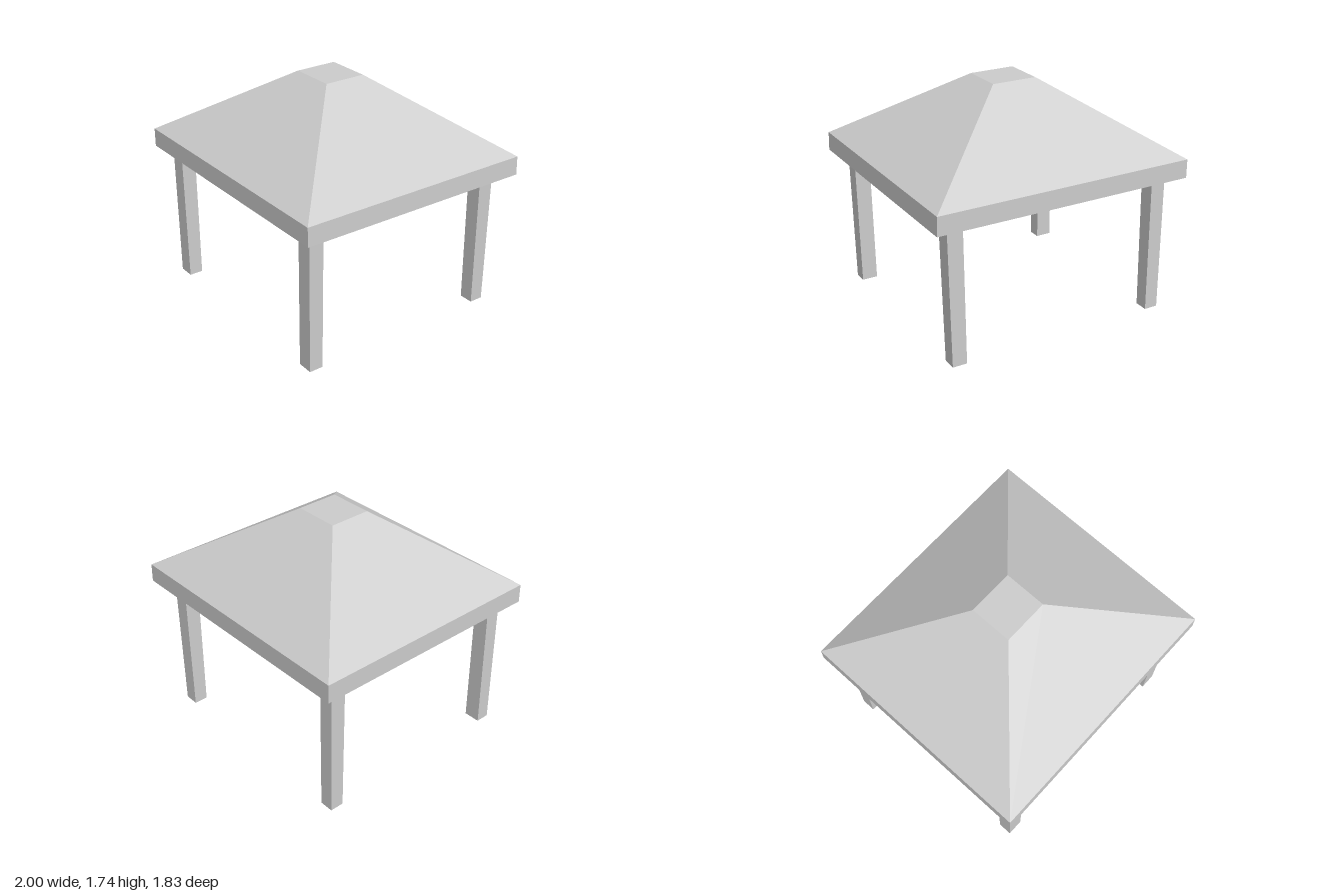
import * as THREE from 'three';

const material = new THREE.MeshStandardMaterial({ color: 0xcccccc, flatShading: true });

// Four-cornered ring at height y, seen from above: front right, front left, back left, back right
function ring(x0, x1, zBack, zFront, y, skew = 0) {
  return [[x0 - skew, y, zFront], [x1 - skew, y, zFront], [x1 + skew, y, zBack], [x0 + skew, y, zBack]];
}

// Flat-sided skin through successive rings, with optional end caps
function loft(name, rings, capStart, capEnd) {
  const pos = [];
  const quad = (a, b, c, d) => pos.push(...a, ...b, ...c, ...a, ...c, ...d);
  for (let i = 0; i < rings.length - 1; i++) {
    for (let k = 0; k < 4; k++) {
      const n = (k + 1) % 4;
      quad(rings[i][k], rings[i][n], rings[i + 1][n], rings[i + 1][k]);
    }
  }
  if (capStart) quad(...[...rings[0]].reverse());
  if (capEnd) quad(...rings[rings.length - 1]);
  const geometry = new THREE.BufferGeometry();
  geometry.setAttribute('position', new THREE.Float32BufferAttribute(pos, 3));
  geometry.computeVertexNormals();
  const mesh = new THREE.Mesh(geometry, material);
  mesh.name = name;
  return mesh;
}

export function createModel() {
  const group = new THREE.Group();
  group.name = 'pavilion';

  const outerEave = ring(-0.995, 0.995, -0.915, 0.91, 1.2, 0.004);
  const innerEave = ring(-0.95, 0.95, -0.87, 0.865, 1.15, 0.004);

  // Hipped roof with a flat top
  group.add(loft('roof', [outerEave, ring(-0.18, 0.165, -0.165, 0.155, 1.735)], false, true));

  // Hollow underside of the roof
  group.add(loft('ceiling', [ring(-0.18, 0.165, -0.165, 0.155, 1.655), innerEave], true, false));

  // Upright band around the eaves, with its lower lip
  group.add(loft('eaveBand', [
    innerEave,
    ring(-0.95, 0.95, -0.87, 0.865, 1.06, 0.004),
    ring(-0.995, 0.998, -0.915, 0.91, 1.06, 0.004),
    outerEave,
  ], false, false));

  // Slightly leaning posts: [x0, x1, zBack, zFront] at the foot and at the top
  const posts = {
    frontRightPost: [[-0.89, -0.765, 0.705, 0.81], [-0.89, -0.77, 0.705, 0.82]],
    frontLeftPost: [[0.74, 0.86, 0.705, 0.81], [0.76, 0.88, 0.705, 0.82]],
    backRightPost: [[-0.885, -0.78, -0.8, -0.695], [-0.89, -0.775, -0.8, -0.68]],
    backLeftPost: [[0.74, 0.85, -0.8, -0.695], [0.76, 0.88, -0.8, -0.68]],
  };
  for (const [name, [foot, top]] of Object.entries(posts)) {
    group.add(loft(name, [ring(...foot, 0), ring(...top, 1.25)], true, true));
  }
  return group;
}
